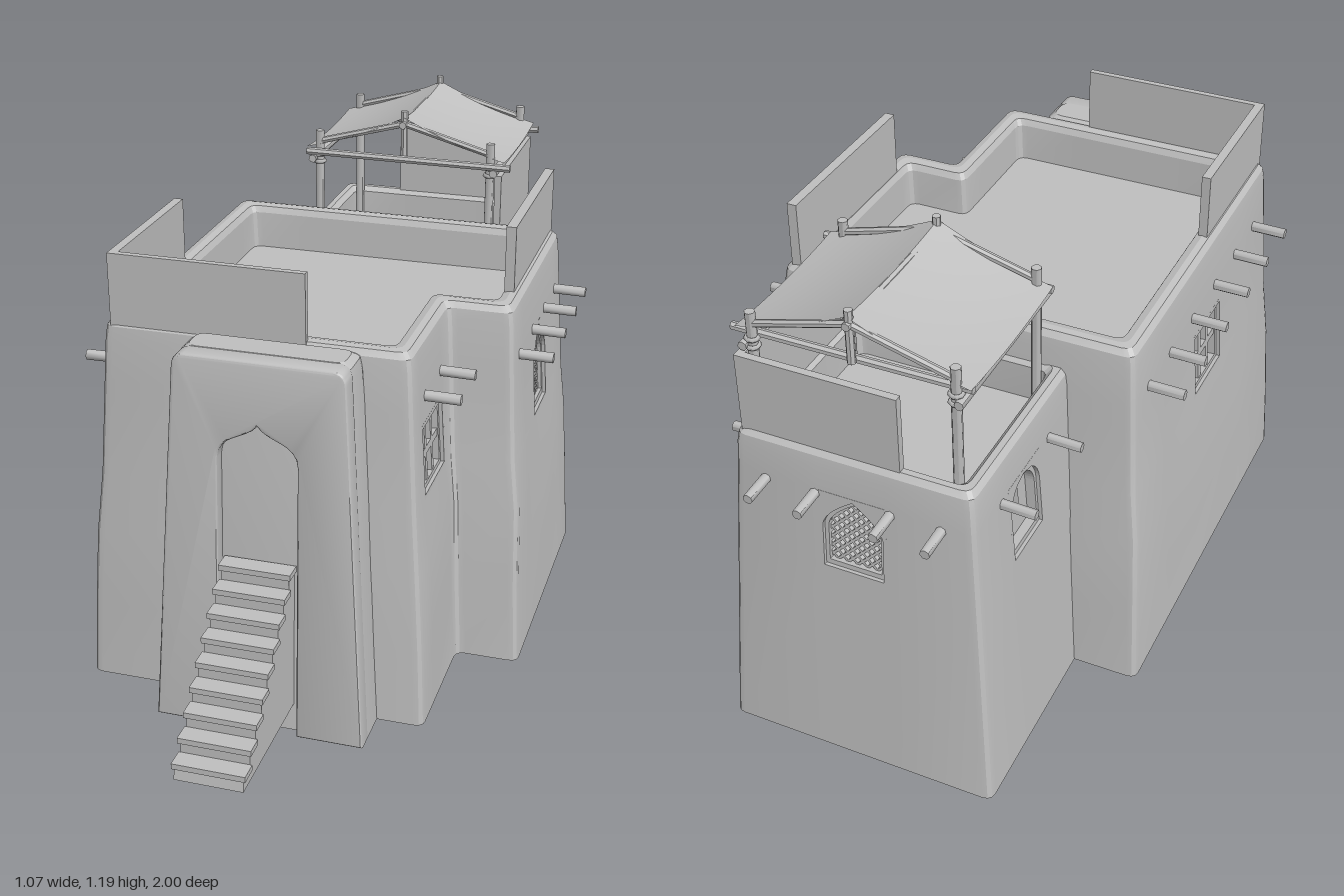
import * as THREE from 'three';
import { toCreasedNormals } from 'three/addons/utils/BufferGeometryUtils.js';

const clay = new THREE.MeshStandardMaterial({ color: 0xc0c0c0, side: THREE.DoubleSide });
clay.name = 'pale clay';

function add(parent, name, geo, x = 0, y = 0, z = 0) {
  const m = new THREE.Mesh(geo, clay);
  m.name = name;
  m.position.set(x, y, z);
  parent.add(m);
  return m;
}
const box = (parent, name, w, h, d, x, y, z) => add(parent, name, new THREE.BoxGeometry(w, h, d), x, y, z);

// round pole between two points
function rod(parent, name, a, b, r = 0.011) {
  const A = new THREE.Vector3(...a), dir = new THREE.Vector3(...b).sub(A);
  const m = add(parent, name, toCreasedNormals(new THREE.CylinderGeometry(r, r, dir.length(), 7), 0.9));
  m.position.copy(A).addScaledVector(dir, 0.5);
  m.quaternion.setFromUnitVectors(new THREE.Vector3(0, 1, 0), dir.normalize());
}

// rounded plan outline pushed outward by d; plan entries are [x, z, cuts along the next edge]
function outline(plan, d, r = 0.024) {
  const n = plan.length, out = [];
  plan.forEach(([x, z, cuts = []], i) => {
    const [ax, az] = plan[(i + n - 1) % n], [bx, bz] = plan[(i + 1) % n];
    const u = new THREE.Vector2(x - ax, z - az).normalize();
    const v = new THREE.Vector2(bx - x, bz - z).normalize();
    const P = new THREE.Vector2(x + (u.y + v.y) * d, z - (u.x + v.x) * d);
    out.push(...new THREE.QuadraticBezierCurve(P.clone().addScaledVector(u, -r), P, P.clone().addScaledVector(v, r)).getPoints(3));
    for (const c of cuts) out.push(Math.abs(v.x) > 0.5 ? new THREE.Vector2(c, P.y) : new THREE.Vector2(P.x, c));
  });
  return out;
}
const capGeometry = ring =>
  new THREE.ShapeGeometry(new THREE.Shape(ring.map(p => new THREE.Vector2(p.x, -p.y)))).rotateX(-Math.PI / 2);

// battered wall: levels are [height, outward offset, unevenness]; openings are [centre xyz, half size xyz]
function shell(parent, name, plan, levels, openings = []) {
  const pos = [], idx = [];
  let ring;
  levels.forEach(([y, d, rough = 0], i) => {
    ring = outline(plan, d);
    const low = outline(plan, d - rough);
    ring.forEach((p, j) => {
      const q = p.clone().lerp(low[j], 0.5 + 0.5 * Math.sin(p.x * 9 + p.y * 13 + i * 1.7));
      pos.push(q.x, y + 4 * rough * Math.sin(p.x * 14 + p.y * 11), q.y);
    });
  });
  const n = ring.length;
  for (let i = 0; i < levels.length - 1; i++) for (let j = 0; j < n; j++) {
    const a = i * n + j, b = i * n + (j + 1) % n;
    const mid = k => [a, b, a + n, b + n].reduce((s, v) => s + pos[v * 3 + k], 0) / 4;
    if (openings.some(o => [0, 1, 2].every(k => Math.abs(mid(k) - o[k]) < o[k + 3]))) continue;
    idx.push(a, a + n, b, b, a + n, b + n);
  }
  const g = new THREE.BufferGeometry();
  g.setAttribute('position', new THREE.Float32BufferAttribute(pos, 3));
  g.setIndex(idx);
  add(parent, name, toCreasedNormals(g, 0.3));
  add(parent, name + 'Roof', capGeometry(ring), 0, levels[levels.length - 1][0], 0);
}

// opening silhouettes: half width at height y
const pointed = (hw, h, sp) => y => y <= sp ? hw : hw * (1 - Math.min(1, (y - sp) / (h - sp)) ** 1.7);
const round = (hw, h, sp) => y => y <= sp ? hw : hw * Math.sqrt(Math.max(0, 1 - ((y - sp) / (h - sp)) ** 2));
const square = hw => () => hw;
function openingPoints(half, h, s = 1) {
  const right = [], c = h / 2;
  for (let i = 0; i <= 20; i++) right.push(new THREE.Vector2(half(h * i / 20) * s, c + (h * i / 20 - c) * s));
  return [...right, ...right.slice().reverse().map(p => new THREE.Vector2(-p.x, p.y))];
}
function rect(x0, y0, x1, y1, Kind = THREE.Shape) {
  return new Kind([[x0, y0], [x1, y0], [x1, y1], [x0, y1]].map(p => new THREE.Vector2(...p)));
}

// wall panel facing +z with a recessed window 0.01 above its lower edge
function makeWindow(parent, name, half, h, kind, place, turn, tilt) {
  const w = new THREE.Group(), opening = new THREE.Group();
  w.name = name;
  opening.name = 'opening';
  opening.position.y = 0.01;
  w.add(opening);
  const hw = half(0);
  const wall = rect(-hw - 0.008, -0.01, hw + 0.008, h + 0.01);
  wall.holes.push(new THREE.Path(openingPoints(half, h)));
  add(opening, 'surround', new THREE.ExtrudeGeometry(wall, { depth: 0.035, bevelEnabled: false }), 0, 0, -0.035);
  const frame = new THREE.Shape(openingPoints(half, h));
  frame.holes.push(new THREE.Path(openingPoints(half, h, 0.87)));
  add(opening, 'frame', new THREE.ExtrudeGeometry(frame, { depth: 0.025, bevelEnabled: false }), 0, 0, -0.034);
  const pane = new THREE.Shape(openingPoints(half, h, 0.95));
  if (kind === 'hatch') pane.holes.push(rect(-0.023, 0.08, 0.023, 0.14, THREE.Path));
  add(opening, 'pane', new THREE.ShapeGeometry(pane), 0, 0, -0.032);
  if (kind === 'grid') {
    for (const x of [-0.3, 0.3]) box(opening, 'mullion', 0.016, h * 0.92, 0.02, x * hw, h / 2, -0.022);
    box(opening, 'crossbar', hw * 1.84, 0.018, 0.02, 0, h / 2, -0.022);
  } else if (kind === 'lattice') {
    for (const s of [-1, 1]) for (let c = -0.06; c < h + 0.07; c += 0.024) {
      const inside = [];
      for (let x = -hw; x <= hw; x += hw / 20) {
        const y = c + s * x;
        if (y > 0.005 && y < h && Math.abs(x) < half(y) * 0.92) inside.push([x, y]);
      }
      if (inside.length < 3) continue;
      const [a, b] = [inside[0], inside[inside.length - 1]];
      const bar = box(opening, 'latticeBar', Math.hypot(b[0] - a[0], b[1] - a[1]), 0.006, 0.012, (a[0] + b[0]) / 2, (a[1] + b[1]) / 2, -0.024);
      bar.rotation.z = s * Math.PI / 4;
    }
  }
  w.position.set(...place);
  w.rotation.order = 'YXZ';
  w.rotation.set(-tilt, turn, 0);
  parent.add(w);
}

export function createModel() {
  const g = new THREE.Group();
  g.name = 'clayHouse';

  // main house, open at the lower back towards the tower
  const mainPlan = [[-0.443, -0.43, [-0.2, -0.02, 0.19, 0.32]], [0.447, -0.43, [-0.32, -0.213, -0.051, 0.06]], [0.447, 0.17],
    [0.29, 0.17, [0.249, 0.445]], [0.29, 0.505, [0.05, -0.2]], [-0.443, 0.505, [0.3, 0.148, -0.048, -0.25]]];
  shell(g, 'mainWall', mainPlan,
    [[0, 0.055], [0.2, 0.047, 0.004], [0.4, 0.038, 0.006], [0.54, 0.0206], [0.725, 0.0094], [0.78, 0.0061], [0.88, 0], [0.908, -0.004],
      [0.922, -0.015], [0.925, -0.03], [0.921, -0.047], [0.905, -0.055], [0.81, -0.06]],
    [[-0.46, 0.63, 0.05, 0.05, 0.08, 0.05], [0.31, 0.63, 0.347, 0.03, 0.08, 0.05], [0.46, 0.66, -0.132, 0.05, 0.11, 0.05],
      [0.085, 0.25, -0.46, 0.05, 0.28, 0.06]]);
  add(g, 'innerFloor', capGeometry(outline(mainPlan, 0.03)), 0, 0.33, 0);

  // rear tower, open towards the house
  shell(g, 'towerWall', [[-0.285, -0.915, [-0.081, 0.081]], [0.285, -0.915, [-0.759, -0.597]], [0.285, -0.4], [-0.285, -0.4, [-0.597, -0.759]]],
    [[0, 0.052], [0.53, 0.0176], [0.74, 0.0039], [0.8, 0], [0.825, -0.004], [0.838, -0.015], [0.838, -0.03], [0.825, -0.042], [0.74, -0.045]],
    [[0, 0.635, -0.925, 0.05, 0.08, 0.05], [0.3, 0.635, -0.678, 0.05, 0.08, 0.05], [-0.3, 0.635, -0.678, 0.05, 0.08, 0.05],
      [0, 0.4, -0.35, 1, 0.39, 0.072]]);

  // porch with a recessed ogee doorway in a front that leans back with the walls
  shell(g, 'porchWall', [[-0.225, 0.49], [0.18, 0.49], [0.18, 0.605], [-0.225, 0.605]],
    [[0, 0.052], [0.45, 0.026, 0.003], [0.88, 0], [0.91, -0.005], [0.923, -0.02], [0.923, -0.03]]);
  const front = new THREE.Shape();
  front.moveTo(-0.277, 0).lineTo(-0.118, 0).lineTo(-0.118, 0.685);
  front.bezierCurveTo(-0.116, 0.742, -0.05, 0.735, -0.024, 0.77);
  front.bezierCurveTo(0.002, 0.735, 0.068, 0.742, 0.07, 0.685);
  front.lineTo(0.07, 0).lineTo(0.232, 0).lineTo(0.18, 0.89).quadraticCurveTo(0.178, 0.92, 0.15, 0.922);
  front.lineTo(-0.195, 0.922).quadraticCurveTo(-0.223, 0.92, -0.225, 0.89);
  const facade = new THREE.ExtrudeGeometry(front, { depth: 0.039, bevelThickness: 0.008, bevelSize: 0.008, bevelOffset: -0.008, bevelSegments: 3, curveSegments: 8 });
  const fp = facade.attributes.position;
  for (let i = 0; i < fp.count; i++) fp.setZ(i, fp.getZ(i) + 0.64 - 0.058 * fp.getY(i));
  add(g, 'porchFront', toCreasedNormals(facade, 0.5));

  // entrance stairs
  const steps = new THREE.Shape();
  steps.moveTo(0.64, 0.07).lineTo(1, 0.07);
  for (let i = 0; i < 9; i++) steps.lineTo(0.994 - i * 0.04, 0.105 + i * 0.04).lineTo(0.954 - i * 0.04, 0.105 + i * 0.04);
  const stairs = new THREE.ExtrudeGeometry(steps, { depth: 0.162, bevelEnabled: false });
  add(g, 'stairs', stairs.rotateY(-Math.PI / 2), 0.056);
  for (let i = 0; i < 9; i++) box(g, 'stairTread', 0.172, 0.014, 0.046, -0.025, 0.104 + i * 0.04, 0.977 - i * 0.04);

  // thin roof screens
  box(g, 'frontScreen', 0.47, 0.185, 0.016, -0.19, 0.9925, 0.49);
  box(g, 'leftScreen', 0.022, 0.185, 0.41, -0.414, 0.9925, 0.293);
  box(g, 'rightScreen', 0.024, 0.185, 0.48, 0.413, 0.9925, -0.175);
  box(g, 'towerBackScreen', 0.38, 0.2, 0.018, 0.08, 0.925, -0.892);
  box(g, 'towerSideScreen', 0.018, 0.2, 0.4, 0.261, 0.925, -0.7);

  // projecting roof beams
  for (const z of [0.4, 0.255, 0.105, -0.055, -0.205, -0.345]) {
    const x = z > 0.2 ? 0.38 : 0.535;
    rod(g, 'roofBeam', [x - 0.15, 0.785, z], [x, 0.783, z], 0.013);
    rod(g, 'roofBeam', [-0.4, 0.785, z], [-0.535, 0.783, z], 0.013);
  }
  for (const s of [-1, 1]) {
    for (const z of [-0.545, -0.79]) rod(g, 'towerBeam', [s * 0.24, 0.73, z], [s * 0.37, 0.726, z], 0.012);
    for (const x of [0.09, 0.21]) rod(g, 'towerBeam', [s * x, 0.73, -0.87], [s * x, 0.726, -0.995], 0.012);
  }

  // windows
  const R = Math.PI / 2;
  makeWindow(g, 'rightGridWindow', square(0.09), 0.165, 'grid', [0.3106, 0.54, 0.347], R, 0.0605);
  makeWindow(g, 'leftGridWindow', square(0.09), 0.165, 'grid', [-0.4636, 0.54, 0.05], -R, 0.0605);
  makeWindow(g, 'rightArchWindow', pointed(0.073, 0.22, 0.13), 0.22, 'lattice', [0.4676, 0.54, -0.132], R, 0.0605);
  makeWindow(g, 'backArchWindow', pointed(0.073, 0.19, 0.11), 0.19, 'lattice', [0, 0.53, -0.9326], Math.PI, 0.065);
  for (const s of [-1, 1])
    makeWindow(g, 'towerArchWindow', round(0.073, 0.19, 0.12), 0.19, 'hatch', [s * 0.3026, 0.53, -0.678], s * R, 0.065);

  // awning poles
  const awning = new THREE.Group();
  awning.name = 'awning';
  g.add(awning);
  const knot = new THREE.TorusGeometry(0.013, 0.006, 5, 9);
  for (const z of [-0.475, -0.865]) {
    for (const x of [-0.228, 0.243]) {
      rod(awning, 'post', [x, 0.74, z], [x, 1.12, z], 0.012);
      rod(awning, 'rafter', [0.008, 1.155, z], [x, 1.09, z], 0.009);
      for (const y of [1.035, 1.055]) add(awning, 'ropeKnot', knot, x, y, z).rotation.x = R;
    }
    rod(awning, 'tieBeam', [-0.26, 1.063, z + 0.014], [0.3, 1.06, z + 0.014], 0.01);
    rod(awning, 'kingPost', [0.008, 1.06, z], [0.008, 1.19, z], 0.01);
  }
  for (const x of [-0.242, 0.257]) rod(awning, 'sideBeam', [x, 1.045, -0.45], [x, 1.04, -0.885], 0.011);
  rod(awning, 'ridgePole', [0.008, 1.155, -0.455], [0.008, 1.155, -0.88], 0.01);

  // sagging awning cloth
  const cloth = new THREE.PlaneGeometry(0.545, 0.405, 16, 8).rotateX(-R);
  const cp = cloth.attributes.position;
  for (let i = 0; i < cp.count; i++) {
    const t = Math.abs(cp.getX(i)) / 0.2725, v = 1 - (cp.getZ(i) / 0.2025) ** 2;
    cp.setY(i, 1.174 - 0.1 * t - 0.035 * t * (1 - t) - 0.01 * v);
  }
  add(awning, 'cloth', toCreasedNormals(cloth, 0.4), 0.01, 0, -0.667);

  return g;
}
